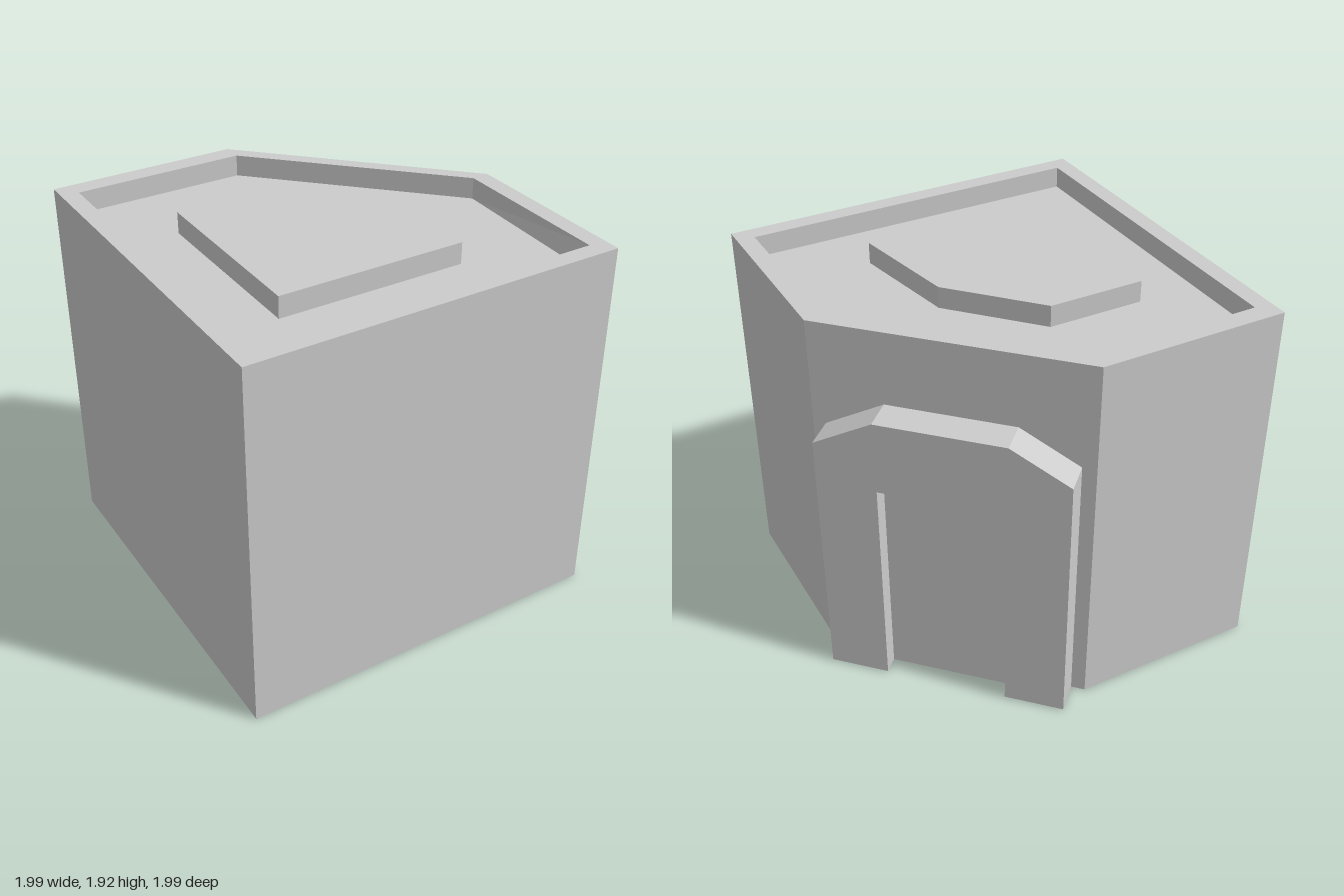
import * as THREE from 'three';

// Skin a list of matching rings of [x, y, z] points with flat faces.
function loft(rings, { closed = true, capStart = false, capEnd = true } = {}) {
  const pos = [];
  const tri = (a, b, c) => pos.push(...a, ...b, ...c);
  const n = rings[0].length;
  for (let r = 0; r < rings.length - 1; r++) {
    const a = rings[r], b = rings[r + 1];
    for (let i = 0; i < (closed ? n : n - 1); i++) {
      const j = (i + 1) % n;
      tri(a[i], a[j], b[j]);
      tri(a[i], b[j], b[i]);
    }
  }
  const first = rings[0], last = rings[rings.length - 1];
  for (let i = 1; i < n - 1; i++) {
    if (capStart) tri(first[0], first[i + 1], first[i]);
    if (capEnd) tri(last[0], last[i], last[i + 1]);
  }
  const g = new THREE.BufferGeometry();
  g.setAttribute('position', new THREE.Float32BufferAttribute(pos, 3));
  g.computeVertexNormals();
  return g;
}

export function createModel() {
  const group = new THREE.Group();
  const add = (name, geometry, side) => {
    const mesh = new THREE.Mesh(geometry,
      new THREE.MeshStandardMaterial({ color: 0xcccccc, flatShading: true, side }));
    mesh.name = name;
    group.add(mesh);
    return mesh;
  };

  // Five-sided plans as [x, z], counter-clockwise from above
  const outer = [[-1, 0.995], [0.92, 0.995], [0.92, 0.035], [-0.04, -0.93], [-1, -0.93]];
  const rim = [[-0.91, 0.905], [0.83, 0.905], [0.83, 0.04], [-0.04, -0.83], [-0.91, -0.83]];
  const floor = [[-0.91, 0.905], [0.8, 0.905], [0.83, 0.04], [-0.04, -0.83], [-0.91, -0.83]];
  const plinth = [[-0.6, 0.58], [0.36, 0.58], [0.26, 0.02], [-0.11, -0.38], [-0.6, -0.38]];
  const level = (plan, y) => plan.map(([x, z]) => [x, y, z]);
  const top = 1.925, roof = 1.815;

  // Walls, parapet and sunken roof
  add('building', loft([
    level(outer, 0), level(outer, top), level(rim, top), level(floor, roof), level(plinth, roof),
  ], { capStart: true, capEnd: false }), THREE.FrontSide);

  // Raised block on the roof
  add('roofBlock', loft([level(plinth, roof), level(plinth, top)]), THREE.FrontSide);

  // Porch on the slanted wall, open underneath, with a recessed doorway
  const mirror = (half) => [...half, ...half.map(([x, y]) => [-x, y]).reverse()];
  const arch = mirror([[0.613, 0.005], [0.613, 1.385], [0.318, 1.545]]);
  const door = mirror([[0.311, 0.005], [0.311, 1.165], [0.2, 1.165]]);
  const depth = (outline, z) => outline.map(([x, y]) => [x, y, z]);
  const porch = add('porch', loft([
    depth(arch, 0), depth(arch, 0.166), depth(door, 0.166), depth(door, 0.076),
  ], { closed: false }), THREE.DoubleSide);
  porch.rotation.y = Math.PI * 0.75;
  porch.position.set(0.443, 0, -0.447);

  return group;
}
